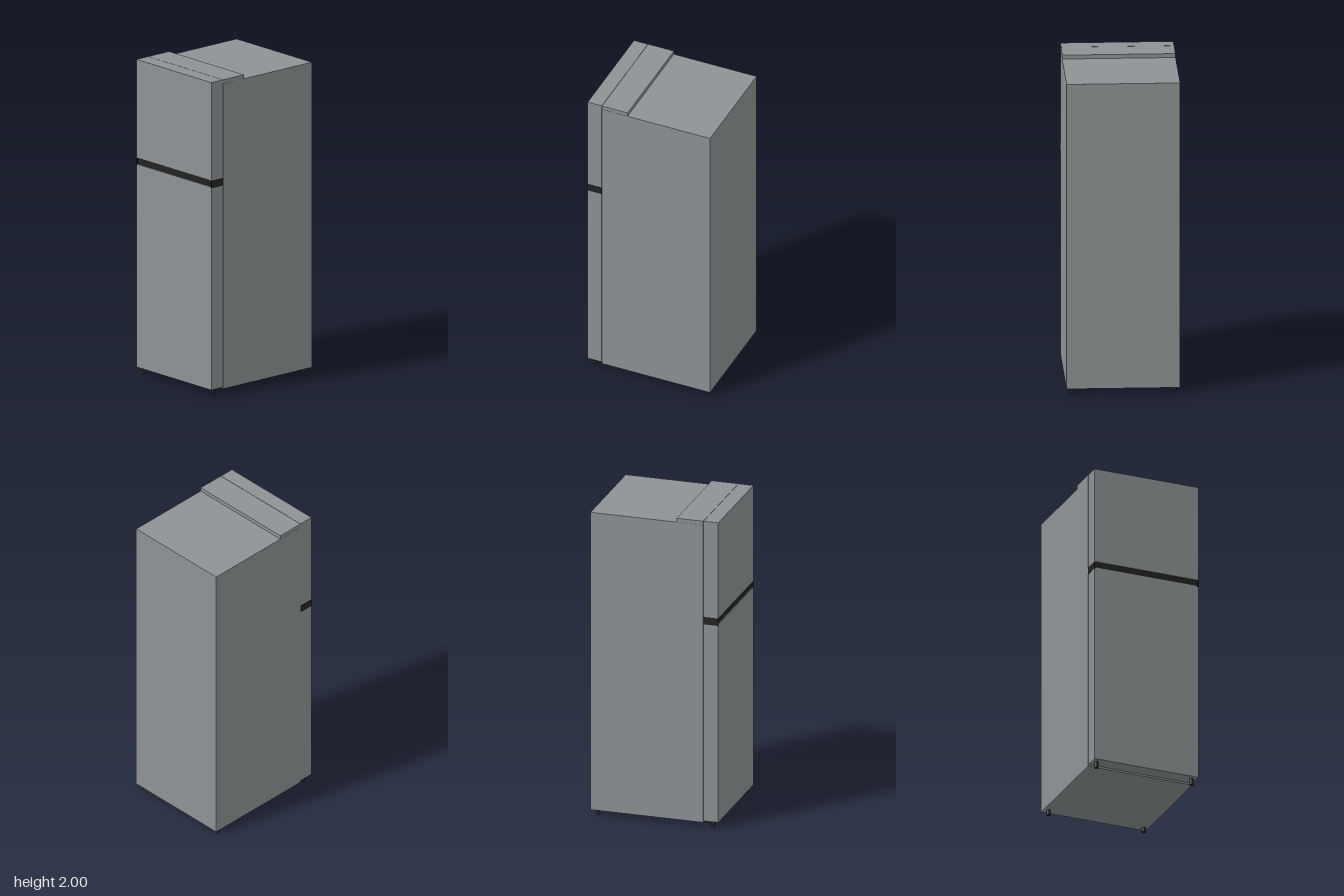
import * as THREE from 'three';

export function createModel() {
  const model = new THREE.Group();
  model.name = 'refrigerator';

  const steel = new THREE.MeshStandardMaterial({ color: 0x8e9395 });
  steel.name = 'brushed steel grey';
  const black = new THREE.MeshStandardMaterial({ color: 0x232323 });
  black.name = 'black plastic';

  // Box given by its lower and upper limits on each axis
  function block(name, material, [x0, x1], [y0, y1], [z0, z1]) {
    const mesh = new THREE.Mesh(new THREE.BoxGeometry(x1 - x0, y1 - y0, z1 - z0), material);
    mesh.position.set((x0 + x1) / 2, (y0 + y1) / 2, (z0 + z1) / 2);
    mesh.name = name;
    model.add(mesh);
    return mesh;
  }

  // Cabinet and the raised hinge cover on its top
  block('cabinet', steel, [-0.348, 0.348], [0.032, 1.975], [-0.411, 0.314]);
  block('hingeCover', steel, [-0.347, 0.347], [1.975, 2], [0.143, 0.315]);

  // Doors, with a hairline seam in front of the cabinet
  const doorX = [-0.346, 0.346];
  const doorZ = [0.317, 0.411];
  block('fridgeDoor', steel, doorX, [0.042, 1.334], doorZ);
  block('freezerDoor', steel, doorX, [1.374, 2], doorZ);
  block('doorSeal', black, [-0.34, 0.34], [0.05, 1.97], [0.313, 0.318]);

  // Dark grip channel between the doors, closed by an end cap on each side
  block('gripChannel', black, [-0.34, 0.34], [1.334, 1.374], [0.317, 0.405]);
  for (const side of [-1, 1]) {
    const xs = [side * 0.338, side * 0.348].sort((a, b) => a - b);
    block('gripEndCap', black, xs, [1.327, 1.374], [0.316, 0.412]);
  }

  // Four levelling feet
  const footGeometry = new THREE.CylinderGeometry(0.013, 0.013, 0.044, 16);
  for (const x of [-0.317, 0.317]) {
    for (const z of [-0.37, 0.372]) {
      const foot = new THREE.Mesh(footGeometry, black);
      foot.position.set(x, 0.022, z);
      foot.name = 'foot';
      model.add(foot);
    }
  }

  return model;
}
